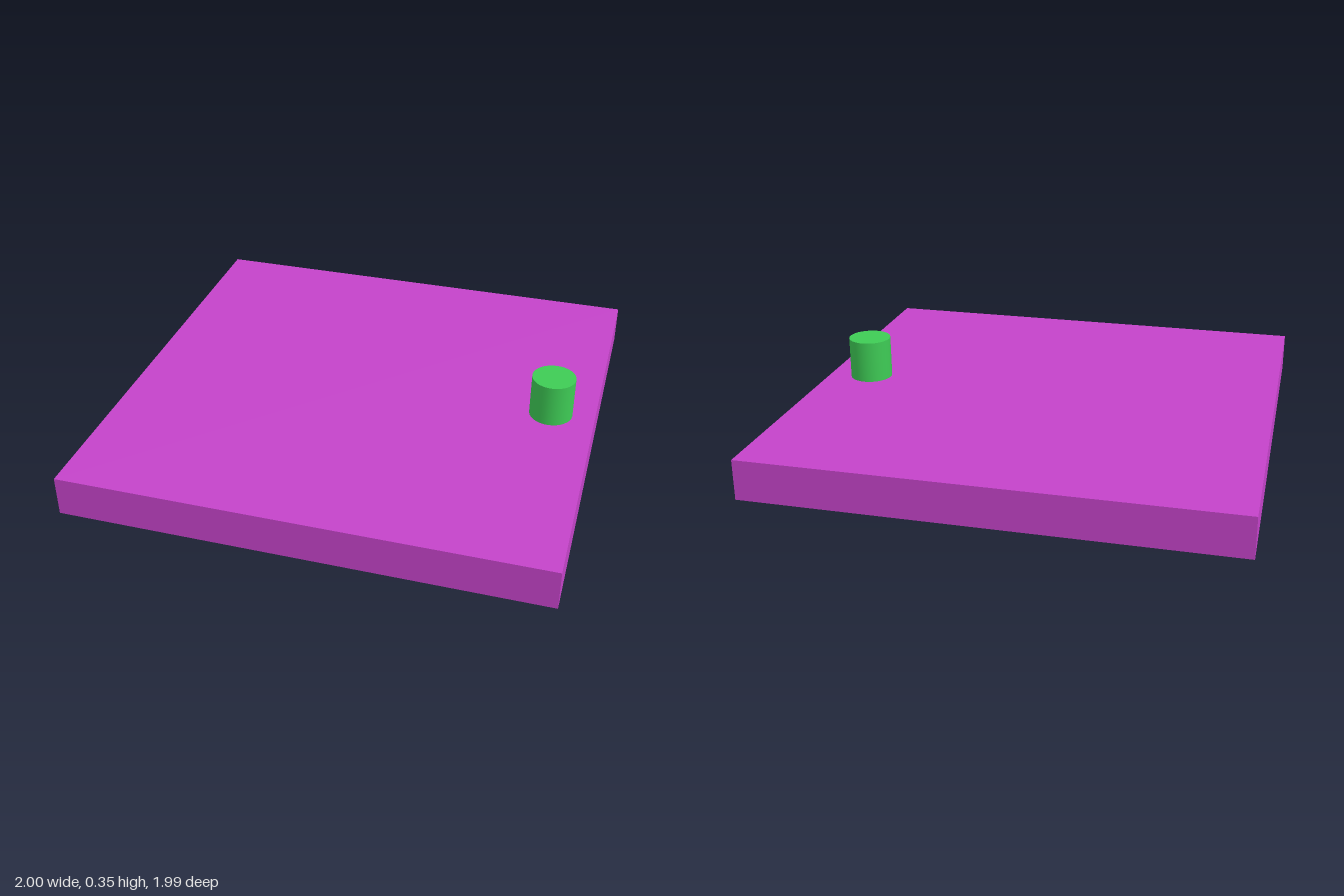
import * as THREE from 'three';

const WIDTH = 2, DEPTH = 1.99, THICK = 0.17, SEGMENTS = 32;

export function createModel() {
  const group = new THREE.Group();
  const purple = new THREE.MeshStandardMaterial({ color: 0xc443c9 });
  const purpleInside = new THREE.MeshStandardMaterial({ color: 0xc443c9, side: THREE.BackSide });
  const green = new THREE.MeshStandardMaterial({ color: 0x3ecb55 });

  const add = (name, geometry, material, x = 0, y = 0, z = 0, parent = group) => {
    const mesh = new THREE.Mesh(geometry, material);
    mesh.name = name;
    mesh.position.set(x, y, z);
    parent.add(mesh);
    return mesh;
  };

  // Blind holes in the underside: two hinge cups, each between two screw holes
  const holes = [];
  for (const side of [-1, 1]) {
    const z = side * 0.668;
    holes.push({ name: 'hingeCup', x: -0.805, z, r: 0.158, depth: 0.11 });
    for (const offset of [-0.24, 0.24]) {
      holes.push({ name: 'screwHole', x: -0.813, z: z + offset, r: 0.032, depth: 0.09 });
    }
  }

  // Door panel: top and sides come from a box whose bottom face is left out
  const box = new THREE.BoxGeometry(WIDTH, THICK, DEPTH);
  const index = Array.from(box.index.array);
  index.splice(18, 6);
  box.setIndex(index);
  box.clearGroups();
  add('panel', box, purple, 0, THICK / 2, 0);

  // Underside of the panel, pierced by the holes
  const w = WIDTH / 2, d = DEPTH / 2;
  const outline = new THREE.Shape([[-w, -d], [w, -d], [w, d], [-w, d]].map(([x, y]) => new THREE.Vector2(x, y)));
  for (const h of holes) {
    outline.holes.push(new THREE.Path().absarc(h.x, h.z, h.r, 0, Math.PI * 2, true));
  }
  add('panelUnderside', new THREE.ShapeGeometry(outline, SEGMENTS).rotateX(Math.PI / 2), purple);

  // Hole walls and their flat ends
  for (const h of holes) {
    const hole = new THREE.Group();
    hole.name = h.name;
    hole.position.set(h.x, 0, h.z);
    const wall = new THREE.CylinderGeometry(h.r, h.r, h.depth, SEGMENTS, 1, true);
    add(h.name + 'Wall', wall, purpleInside, 0, h.depth / 2, 0, hole);
    const end = new THREE.CircleGeometry(h.r, SEGMENTS).rotateX(Math.PI / 2);
    add(h.name + 'End', end, purple, 0, h.depth, 0, hole);
    group.add(hole);
  }

  // Round knob on top
  add('knob', new THREE.CylinderGeometry(0.092, 0.092, 0.182, SEGMENTS), green, 0.813, THICK + 0.091, 0);

  return group;
}
